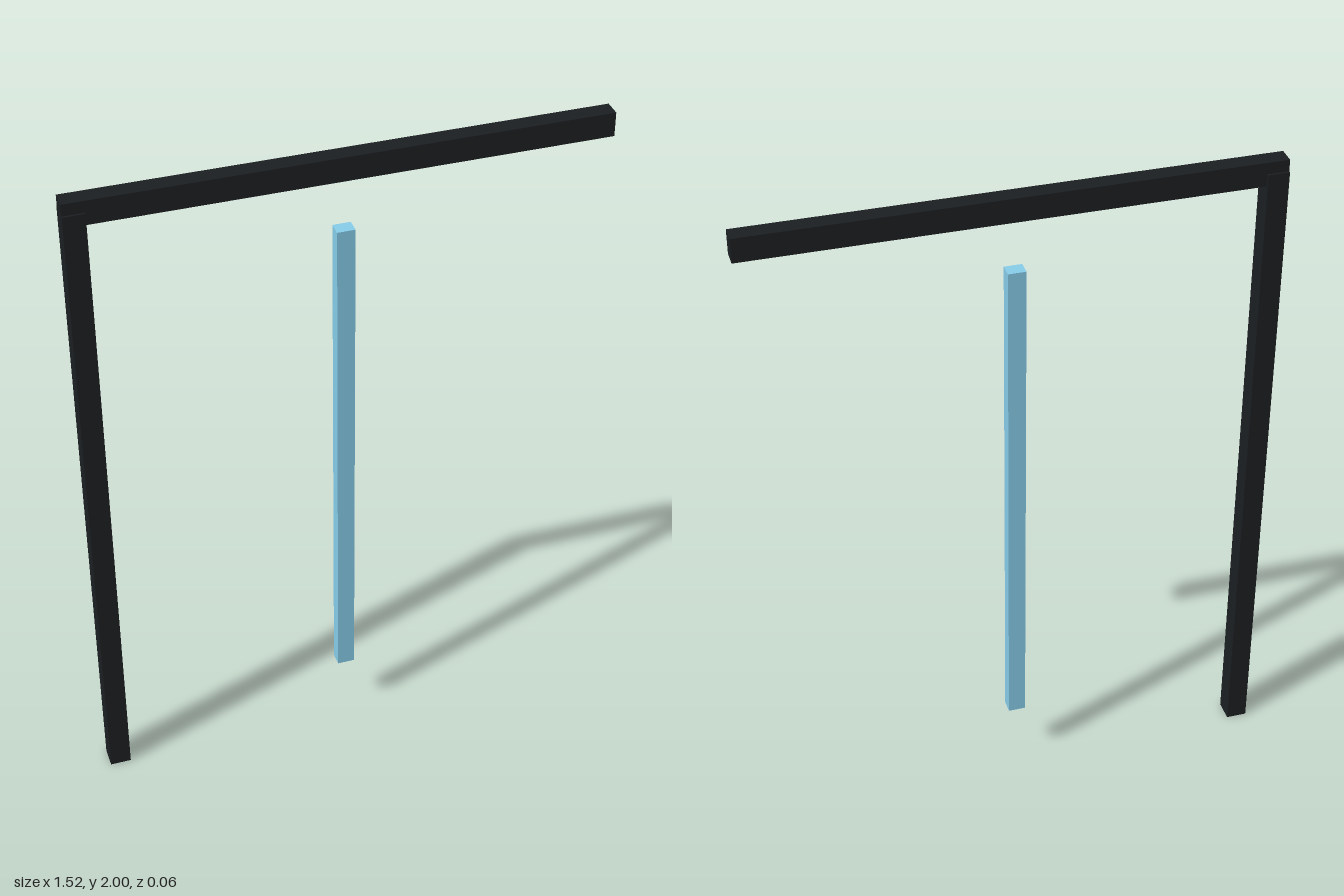
import * as THREE from 'three';

const dark = new THREE.MeshStandardMaterial({ color: 0x1c1f22 });
const blue = new THREE.MeshStandardMaterial({ color: 0x87ceeb });

// Box given by its lower and upper corners
function bar(name, min, max, material) {
  const size = max.map((v, i) => v - min[i]);
  const mesh = new THREE.Mesh(new THREE.BoxGeometry(...size), material);
  mesh.position.set(...max.map((v, i) => (v + min[i]) / 2));
  mesh.name = name;
  return mesh;
}

export function createModel() {
  const group = new THREE.Group();
  group.name = 'postAndBeam';
  group.add(
    // Upright post on the right side
    bar('post', [-0.762, 0, -0.032], [-0.7, 1.965, 0.032], dark),
    // Horizontal arm, slightly thinner than the post and rising above it
    bar('beam', [-0.762, 1.928, -0.026], [0.762, 2, 0.026], dark),
    // Free-standing pale blue bar beneath the arm
    bar('blueBar', [-0.026, 0.2, -0.021], [0.026, 1.77, 0.021], blue)
  );
  return group;
}
